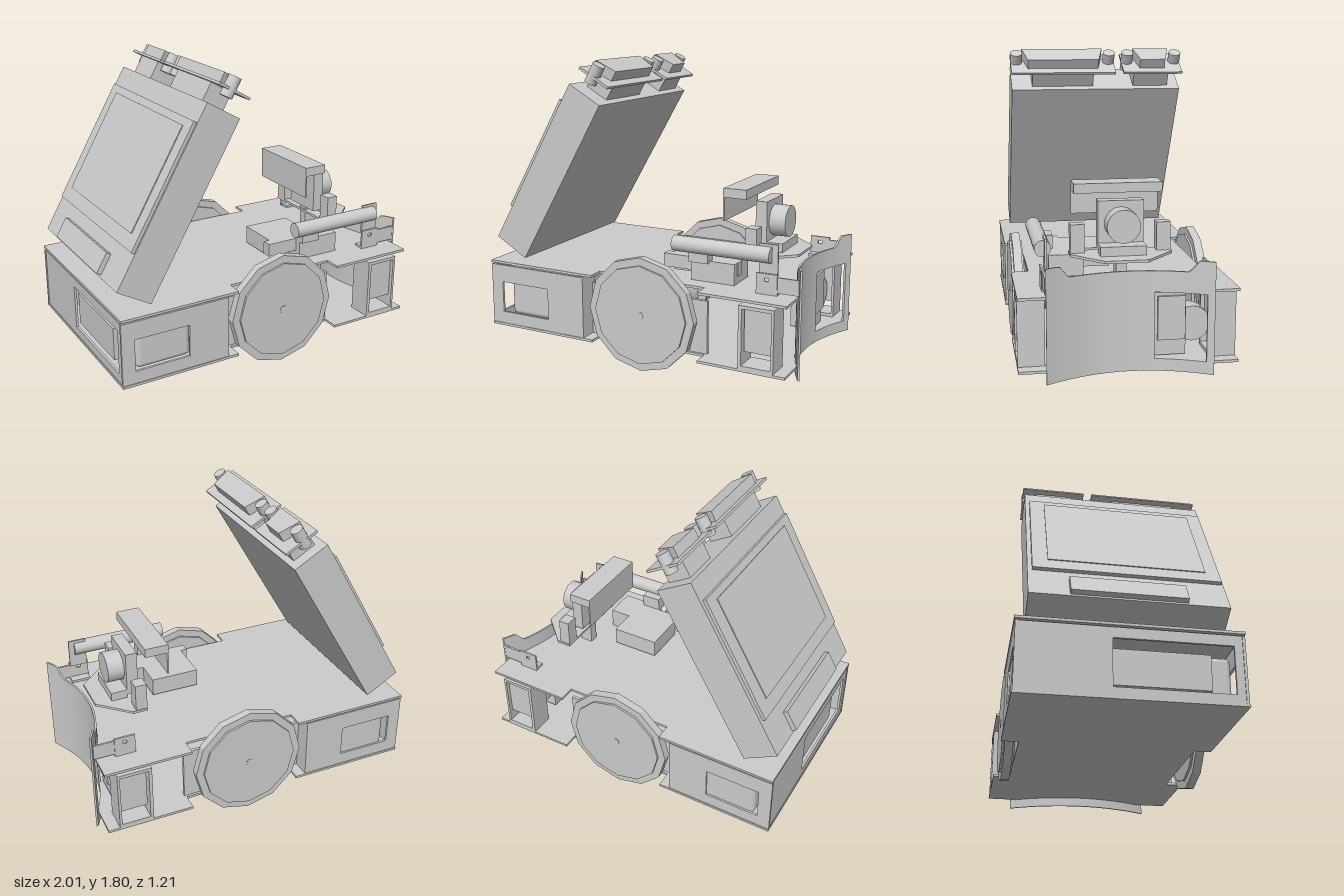
import * as THREE from 'three';
import { RoundedBoxGeometry } from 'three/addons/geometries/RoundedBoxGeometry.js';

const material = new THREE.MeshStandardMaterial({ color: 0xcccccc, side: THREE.DoubleSide });

function add(parent, name, geometry, x = 0, y = 0, z = 0) {
  const mesh = new THREE.Mesh(geometry, material);
  mesh.name = name;
  mesh.position.set(x, y, z);
  parent.add(mesh);
  return mesh;
}

// Box given by its limits on each axis
function box(parent, name, x0, x1, y0, y1, z0, z1) {
  return add(parent, name, new THREE.BoxGeometry(x1 - x0, y1 - y0, z1 - z0),
    (x0 + x1) / 2, (y0 + y1) / 2, (z0 + z1) / 2);
}

// Cylinder along a chosen axis
function rod(parent, name, axis, r, length, x, y, z, sides = 24) {
  const g = new THREE.CylinderGeometry(r, r, length, sides);
  if (axis === 'x') g.rotateZ(Math.PI / 2);
  if (axis === 'z') g.rotateX(Math.PI / 2);
  return add(parent, name, g, x, y, z);
}

// Upright panel in the u-y plane with a rectangular window
function windowPanel(u0, u1, y0, y1, hole, thickness) {
  const rect = (C, a, b, c, d) => new C([[a, c], [b, c], [b, d], [a, d]].map(p => new THREE.Vector2(...p)));
  const shape = rect(THREE.Shape, u0, u1, y0, y1);
  shape.holes.push(rect(THREE.Path, ...hole));
  return new THREE.ExtrudeGeometry(shape, { depth: thickness, bevelEnabled: false });
}

// Deck plate: wide ends, narrow waist for the wheels, concave front edge
function deckGeometry() {
  const s = new THREE.Shape();
  s.moveTo(-1, -0.605);
  s.lineTo(-0.26, -0.605);
  s.lineTo(-0.26, -0.505);
  s.lineTo(0.44, -0.505);
  s.lineTo(0.44, -0.605);
  s.lineTo(0.97, -0.605);
  s.lineTo(0.97, -0.4);
  s.quadraticCurveTo(0.75, 0, 0.97, 0.4);
  s.lineTo(0.97, 0.605);
  s.lineTo(0.44, 0.605);
  s.lineTo(0.44, 0.505);
  s.lineTo(-0.26, 0.505);
  s.lineTo(-0.26, 0.605);
  s.lineTo(-1, 0.605);
  s.closePath();
  const g = new THREE.ExtrudeGeometry(s, { depth: 0.015, bevelEnabled: false, curveSegments: 24 });
  return g.rotateX(-Math.PI / 2);
}

// Section of the curved front shield, bent along z
const shieldX = z => 0.865 + 0.13 * (z / 0.455) ** 2;
const shieldTop = z => 0.65 + 0.065 * THREE.MathUtils.clamp((Math.abs(z) - 0.33) / 0.05, 0, 1);
function shieldSection(parent, z0, z1, y0, y1) {
  const n = Math.max(2, Math.round((z1 - z0) / 0.02));
  const g = new THREE.BoxGeometry(0.012, 1, z1 - z0, 1, 1, n);
  g.translate(0, 0, (z0 + z1) / 2);
  const p = g.attributes.position;
  for (let i = 0; i < p.count; i++) {
    const z = p.getZ(i);
    p.setX(i, p.getX(i) + shieldX(z));
    p.setY(i, p.getY(i) < 0 ? y0 : y1 ?? shieldTop(z));
  }
  g.computeVertexNormals();
  add(parent, 'frontShield', g);
}

function buildChassis(root) {
  const chassis = new THREE.Group();
  chassis.name = 'chassis';
  root.add(chassis);
  add(chassis, 'lowerDeck', deckGeometry(), 0, 0.135, 0);
  add(chassis, 'upperDeck', deckGeometry(), 0, 0.54, 0);

  // Rear housing with windows and battery
  for (const z of [-0.6, 0.585])
    add(chassis, 'rearSidePanel', windowPanel(-1, -0.33, 0.14, 0.53, [-0.92, -0.58, 0.225, 0.42], 0.015), 0, 0, z);
  const back = add(chassis, 'rearPanel', windowPanel(-0.6, 0.6, 0.14, 0.53, [-0.1, 0.54, 0.2, 0.47], 0.015), -1, 0, 0);
  back.rotation.y = -Math.PI / 2;
  back.position.x = -0.98;
  add(chassis, 'battery', new RoundedBoxGeometry(0.34, 0.25, 1.14, 2, 0.03), -0.72, 0.325, -0.02);
  box(chassis, 'rearPack', -0.97, -0.87, 0.22, 0.42, -0.1, 0.42);

  // Drive mounts, motors and front side brackets, mirrored
  for (const s of [-1, 1]) {
    box(chassis, 'housingEnd', -0.34, -0.325, 0.15, 0.53, Math.min(s * 0.46, s * 0.6), Math.max(s * 0.46, s * 0.6));
    box(chassis, 'motorMount', -0.33, 0.45, 0.15, 0.47, s * 0.48 - 0.01, s * 0.48 + 0.01);
    rod(chassis, 'motor', 'z', 0.13, 0.4, 0.06, 0.34, s * 0.27);

    const z0 = s > 0 ? 0.455 : -0.605, z1 = z0 + 0.15;
    box(chassis, 'sensorBracketBase', 0.69, 0.9, 0.15, 0.17, z0, z1);
    box(chassis, 'sensorBracketTop', 0.69, 0.9, 0.5, 0.52, z0, z1);
    box(chassis, 'sensorBracketRear', 0.69, 0.71, 0.17, 0.5, z0, z1);
    box(chassis, 'sensorBracketFront', 0.885, 0.9, 0.15, 0.52, z0, z1);
    box(chassis, 'sensorBody', 0.72, 0.88, 0.25, 0.5, z0 + 0.02, z1 - 0.02);

    const tab = windowPanel(0.735, 0.86, 0.55, 0.675, [0.785, 0.81, 0.63, 0.65], 0.012);
    add(chassis, 'shieldTab', tab, 0, 0, s * 0.46 - 0.006);
    box(chassis, 'shieldTabFoot', 0.74, 0.86, 0.555, 0.57, s * 0.43 - 0.03, s * 0.43 + 0.03);
    box(chassis, 'shieldTabArm', 0.86, 0.985, 0.57, 0.66, s * 0.455 - 0.006, s * 0.455 + 0.006);
  }

  // Front shield with an opening for the ball sensor
  const shield = new THREE.Group();
  shield.name = 'shield';
  chassis.add(shield);
  shieldSection(shield, -0.15, 0.457, 0.08);
  shieldSection(shield, -0.42, -0.15, 0.53);
  shieldSection(shield, -0.42, -0.15, 0.08, 0.15);
  shieldSection(shield, -0.457, -0.42, 0.08);
  box(chassis, 'openingSensor', 0.72, 0.86, 0.16, 0.52, -0.33, -0.155);
  box(chassis, 'openingSensorFace', 0.86, 0.875, 0.25, 0.5, -0.325, -0.17);
  rod(chassis, 'openingRoller', 'x', 0.1, 0.1, 0.8, 0.33, -0.37);
}

function buildWheels(root) {
  for (const s of [-1, 1]) {
    const wheel = new THREE.Group();
    wheel.name = 'wheel';
    wheel.position.set(0.06, 0.352, s * 0.555);
    root.add(wheel);
    const flat = r => new THREE.CylinderGeometry(r, r, 1, 12).toNonIndexed();
    for (const [name, r, w] of [['tyre', 0.347, 0.05], ['wheelDisc', 0.3, 0.075]]) {
      const g = flat(r).scale(1, w, 1).rotateX(Math.PI / 2);
      g.computeVertexNormals();
      add(wheel, name, g);
    }
    rod(wheel, 'axle', 'z', 0.025, 0.14, 0, 0, -s * 0.03, 12);
  }
}

function buildScreen(root) {
  const screen = new THREE.Group();
  screen.name = 'tiltedCase';
  screen.position.set(-0.605, 1.125, 0);
  screen.rotation.z = -Math.PI / 6;
  root.add(screen);
  box(screen, 'caseBody', -0.117, 0.117, -0.565, 0.565, -0.54, 0.54);
  box(screen, 'casePanel', -0.137, -0.117, -0.335, 0.445, -0.515, 0.53);
  box(screen, 'casePanelInset', -0.142, -0.137, -0.25, 0.4, -0.43, 0.45);
  box(screen, 'caseConnector', -0.147, -0.117, -0.55, -0.42, -0.32, 0.31);

  // Two boards on the top edge: board, foot, connector limits and post positions along z
  const boards = [
    { board: [-0.115, 0.545], foot: [0.02, 0.41], plug: [-0.04, 0.475], posts: [-0.08, 0.51] },
    { board: [-0.545, -0.165], foot: [-0.465, -0.24], plug: [-0.47, -0.24], posts: [-0.51, -0.2] },
  ];
  for (const b of boards) {
    box(screen, 'boardFoot', -0.07, 0.08, 0.56, 0.685, ...b.foot);
    box(screen, 'board', -0.1, 0.118, 0.677, 0.692, ...b.board);
    const [a, c] = b.plug;
    const s = new THREE.Shape([[-0.06, -a], [0.07, -a - 0.035], [0.07, -c + 0.035], [-0.06, -c]]
      .map(p => new THREE.Vector2(...p)));
    const plug = new THREE.ExtrudeGeometry(s, { depth: 0.064, bevelEnabled: false }).rotateX(-Math.PI / 2);
    add(screen, 'boardPlug', plug, 0, 0.692, 0);
    for (const z of b.posts) rod(screen, 'boardPost', 'y', 0.038, 0.12, -0.01, 0.697, z, 20);
  }
}

function buildCamera(root) {
  const cam = new THREE.Group();
  cam.name = 'cameraUnit';
  root.add(cam);
  // Cover and back plate
  box(cam, 'cover', 0.435, 0.58, 1.03, 1.085, -0.255, 0.255);
  box(cam, 'coverBack', 0.435, 0.445, 0.89, 1.085, -0.255, 0.255);
  // Body and lens
  box(cam, 'cameraBody', 0.59, 0.66, 0.73, 1.0, -0.13, 0.13);
  rod(cam, 'lens', 'x', 0.095, 0.1, 0.71, 0.87, 0, 16);
  box(cam, 'cameraStem', 0.6, 0.68, 0.555, 0.74, -0.03, 0.03);
  for (const s of [-1, 1])
    box(cam, 'cameraArm', 0.59, 0.66, 0.7, 0.87, s * 0.245 - 0.04, s * 0.245 + 0.04);
  // Base with cut corners
  const base = new THREE.Shape([[0.59, -0.29], [0.68, -0.29], [0.86, -0.12], [0.86, 0.12], [0.68, 0.29], [0.59, 0.29]]
    .map(p => new THREE.Vector2(...p)));
  add(cam, 'cameraBase', new THREE.ExtrudeGeometry(base, { depth: 0.015, bevelEnabled: false }).rotateX(-Math.PI / 2), 0, 0.692, 0);
  box(cam, 'baseBlock', 0.66, 0.76, 0.707, 0.76, -0.13, 0.13);
}

function buildDeckParts(root) {
  // Electronics block and side tube
  box(root, 'controlBox', 0.14, 0.44, 0.57, 0.68, 0.03, 0.3);
  box(root, 'controlBoxStep', 0.1, 0.58, 0.6, 0.68, 0.3, 0.36);
  box(root, 'controlBoxFoot', 0.3, 0.575, 0.555, 0.68, 0.2, 0.4);
  rod(root, 'sideTube', 'x', 0.046, 0.6, 0.52, 0.78, 0.455);
  box(root, 'tubeHolder', 0.745, 0.855, 0.66, 0.84, 0.435, 0.447);
  box(root, 'tubeSupport', 0.3, 0.42, 0.67, 0.76, 0.36, 0.43);
}

export function createModel() {
  const root = new THREE.Group();
  root.name = 'wheeledRobot';
  buildChassis(root);
  buildWheels(root);
  buildScreen(root);
  buildCamera(root);
  buildDeckParts(root);
  return root;
}
